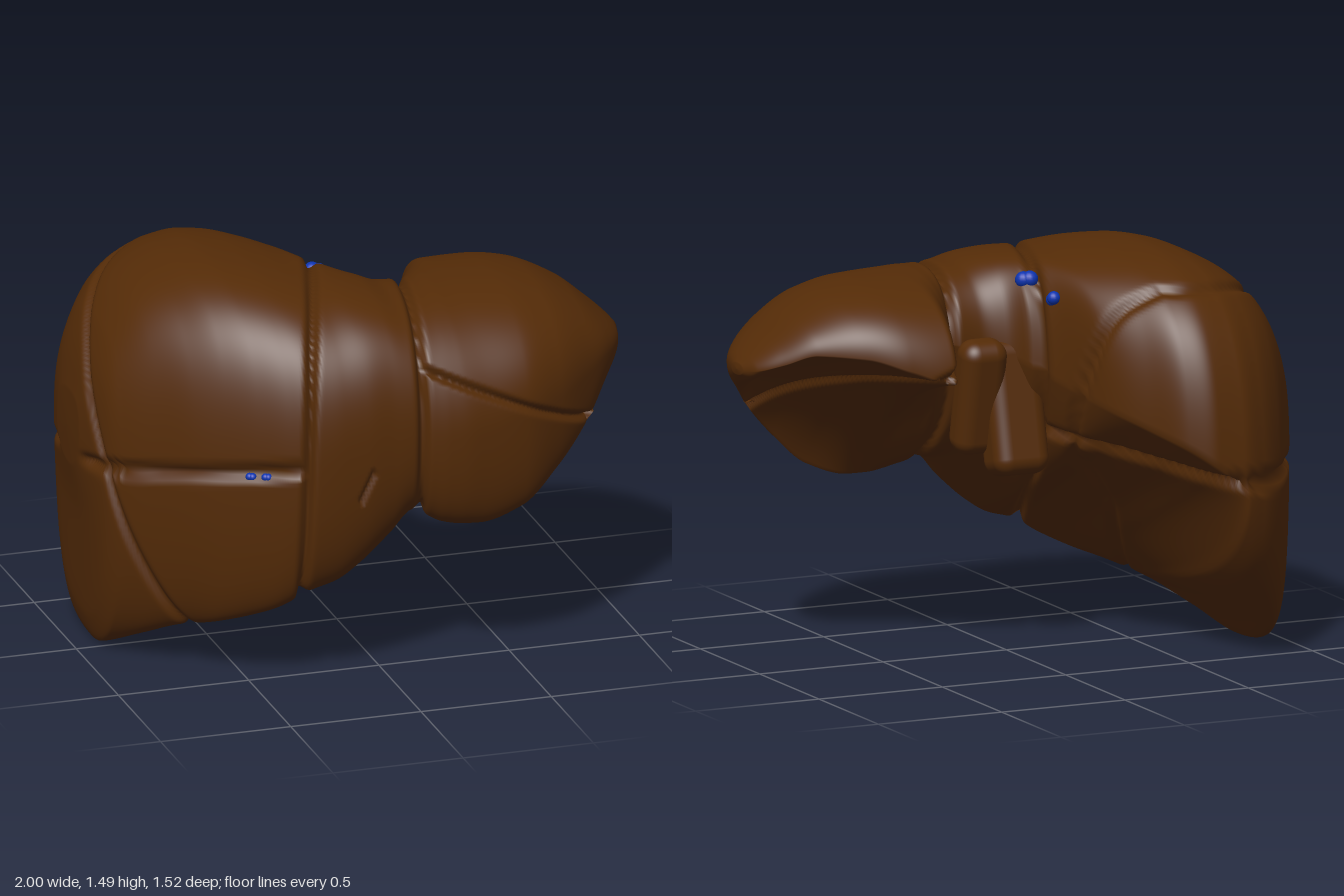
import * as THREE from 'three';
import { RoundedBoxGeometry } from 'three/addons/geometries/RoundedBoxGeometry.js';

// Cross-sections across x:
// x, frontZ, frontY, topZ, topY, backZ, backY, bottomZ, bottomY, fullness of underside
const rightStations = [
  [-1.0, 0.0, 0.86, -0.1, 0.96, -0.22, 0.84, -0.1, 0.72, 1],
  [-0.97, 0.12, 0.84, -0.1, 1.1, -0.36, 0.78, -0.09, 0.52, 1.2],
  [-0.94, 0.21, 0.83, -0.1, 1.19, -0.43, 0.72, -0.1, 0.1, 1.5],
  [-0.9, 0.27, 0.8, -0.1, 1.27, -0.5, 0.65, -0.1, 0.0, 1.9],
  [-0.8, 0.38, 0.82, -0.08, 1.38, -0.64, 0.64, 0.08, 0.08, 1.8],
  [-0.7, 0.48, 0.84, -0.06, 1.44, -0.725, 0.65, 0.25, 0.16, 1.5],
  [-0.6, 0.56, 0.85, -0.02, 1.48, -0.765, 0.7, 0.4, 0.21, 0.88],
  [-0.5, 0.63, 0.86, 0.0, 1.495, -0.765, 0.77, 0.48, 0.25, 0.6],
  [-0.4, 0.69, 0.86, 0.03, 1.49, -0.72, 0.84, 0.55, 0.3, 0.5],
  [-0.3, 0.73, 0.87, 0.06, 1.475, -0.6, 0.9, 0.58, 0.36, 0.5],
  [-0.2, 0.735, 0.9, 0.12, 1.455, -0.45, 0.96, 0.58, 0.39, 0.57],
];
const leftStations = [
  [-0.11, 0.735, 0.92, 0.2, 1.445, -0.18, 1.03, 0.57, 0.445, 0.63],
  [0.0, 0.73, 0.95, 0.27, 1.425, 0.0, 1.1, 0.56, 0.54, 0.75],
  [0.09, 0.73, 0.97, 0.3, 1.4, 0.03, 1.12, 0.57, 0.63, 0.9],
  [0.2, 0.75, 0.95, 0.3, 1.395, 0.02, 1.14, 0.61, 0.585, 0.72],
  [0.27, 0.755, 0.95, 0.27, 1.4, -0.1, 1.13, 0.62, 0.572, 0.48],
  [0.34, 0.75, 0.96, 0.25, 1.4, -0.28, 1.07, 0.63, 0.57, 0.27],
  [0.5, 0.73, 1.0, 0.22, 1.395, -0.25, 1.12, 0.64, 0.62, 0.17],
  [0.65, 0.665, 1.03, 0.2, 1.37, -0.18, 1.17, 0.6, 0.74, 0.14],
  [0.8, 0.55, 1.07, 0.2, 1.3, -0.08, 1.18, 0.51, 0.88, 0.2],
  [0.9, 0.45, 1.1, 0.2, 1.22, 0.0, 1.14, 0.38, 0.98, 0.4],
  [0.97, 0.34, 1.1, 0.2, 1.155, 0.08, 1.11, 0.27, 1.045, 0.8],
  [1.0, 0.23, 1.1, 0.2, 1.12, 0.16, 1.1, 0.2, 1.085, 1],
];
const stations = [...rightStations, ...leftStations];
const { lerp, smoothstep } = THREE.MathUtils;

// Smooth interpolation without overshoot between stations
function sectionAt(x) {
  let k = 0;
  while (k < stations.length - 2 && x > stations[k + 1][0]) k++;
  const h = stations[k + 1][0] - stations[k][0];
  const t = THREE.MathUtils.clamp((x - stations[k][0]) / h, 0, 1);
  const slope = (a, c) => (stations[a + 1][c] - stations[a][c]) / (stations[a + 1][0] - stations[a][0]);
  const tangent = (i, c) => {
    if (i === 0) return slope(0, c);
    if (i === stations.length - 1) return slope(i - 1, c);
    const a = slope(i - 1, c), b = slope(i, c);
    return a * b <= 0 ? 0 : (2 * a * b) / (a + b);
  };
  return stations[k].map((p, c) => {
    const q = stations[k + 1][c], t2 = t * t, t3 = t2 * t;
    return p * (2 * t3 - 3 * t2 + 1) + q * (3 * t2 - 2 * t3)
      + h * (tangent(k, c) * (t3 - 2 * t2 + t) + tangent(k + 1, c) * (t3 - t2));
  });
}

// Point on the loop: four rounded quarters, front > top > back > bottom
function loopPoint(s, v) {
  const [x, fz, fy, tz, ty, bz, by, dz, dy, full] = s;
  const q = Math.floor(v * 4) % 4, t = v * 4 - Math.floor(v * 4);
  const f = Math.min(full, 1), round = lerp(1.2, 0.87, smoothstep(x, -0.1, 0.25));
  const [a, c, b, weight] = [
    [[fz, fy], [fz, ty], [tz, ty], round],
    [[tz, ty], [bz, ty], [bz, by], round],
    [[bz, by], [lerp(dz, bz, f), lerp(by, dy, f)], [dz, dy], 0.85 * Math.max(1, full)],
    [[dz, dy], [fz, dy], [fz, fy], 0.9],
  ][q];
  const w0 = (1 - t) ** 2, w1 = 2 * t * (1 - t) * weight, w2 = t * t, sum = w0 + w1 + w2;
  return [0, 1].map(i => (w0 * a[i] + w1 * c[i] + w2 * b[i]) / sum);
}

// Signed distances to the fissures between segments
const mainFissure = (x, y, z) => (x + 0.345 - 0.3 * (0.73 - z) - 0.04 * (y - 0.85)) / 1.05;
const leftFissure = (x, y, z) => x - 0.1 - 0.14 * (0.73 - z);
const crossFissure = (x, y, z) => y - (0.83 + 0.08 * x + 0.1 * z);
const rearFissure = (x, y, z) => (z - (0.026 - 0.638 * x - 0.55 * y
  - 1.2 * y * Math.max(0, (x + 1) * (-0.4 - x)) + 0.12 * smoothstep(x, -0.45, -0.2))) / 1.3;
const sideFissure = (x, y) => (y - 1.26 + 0.46 * x) / 1.1;

const segmentNames = ['upperFrontRightSegment', 'lowerFrontRightSegment', 'upperRearRightSegment',
  'lowerRearRightSegment', 'middleSegment', 'upperLeftSegment', 'lowerLeftSegment'];

function segmentOf(x, y, z) {
  if (mainFissure(x, y, z) < 0)
    return (rearFissure(x, y, z) < 0 ? 2 : 0) + (crossFissure(x, y, z) < 0 ? 1 : 0);
  if (leftFissure(x, y, z) < 0) return 4;
  return sideFissure(x, y) > 0 ? 5 : 6;
}

function grooveDepth(x, y, z) {
  const dip = (d, w) => Math.exp(-((d / w) ** 2));
  let g = Math.max(dip(mainFissure(x, y, z), 0.016), dip(leftFissure(x, y, z), 0.015));
  if (mainFissure(x, y, z) < 0)
    g = Math.max(g, dip(crossFissure(x, y, z), 0.018), 0.6 * dip(rearFissure(x, y, z), 0.02));
  if (leftFissure(x, y, z) > 0) g = Math.max(g, 0.8 * dip(sideFissure(x, y), 0.013));
  // short slit on the front of the middle segment
  if (z > 0.5 && y > 0.73 && y < 0.85) g = Math.max(g, 0.5 * dip(x + 0.115 - (y - 0.79) * 0.45, 0.009));
  return 0.038 * g * smoothstep(1 - Math.abs(x), 0.002, 0.025);
}

function buildSegments(material) {
  const N = 290, M = 216, pos = [], all = [], parts = segmentNames.map(() => []);
  for (let i = 0; i <= N; i++) {
    const u = i / N, x = lerp(2 * u - 1, -Math.cos(Math.PI * u), 0.6);
    const s = sectionAt(x), end = i === 0 || i === N;
    for (let j = 0; j < M; j++) {
      const [z, y] = end ? [(s[1] + s[5]) / 2, (s[4] + s[8]) / 2] : loopPoint(s, j / M);
      pos.push(x, y, z);
    }
  }
  for (let i = 0; i < N; i++) for (let j = 0; j < M; j++) {
    const a = i * M + j, c = i * M + (j + 1) % M, b = a + M, d = c + M;
    const quad = [a, b, c, b, d, c];
    const mid = [0, 1, 2].map(k => (pos[a * 3 + k] + pos[d * 3 + k]) / 2);
    all.push(...quad);
    parts[segmentOf(...mid)].push(...quad);
  }
  const body = new THREE.BufferGeometry();
  body.setAttribute('position', new THREE.Float32BufferAttribute(pos, 3));
  body.setIndex(all);
  body.computeVertexNormals();
  // press the fissures into the surface
  const p = body.attributes.position, n = body.attributes.normal;
  for (let i = 0; i < p.count; i++) {
    const x = p.getX(i), y = p.getY(i), z = p.getZ(i), g = grooveDepth(x, y, z);
    p.setXYZ(i, x - n.getX(i) * g, y - n.getY(i) * g, z - n.getZ(i) * g);
  }
  body.computeVertexNormals();
  return parts.map((index, k) => {
    const geo = new THREE.BufferGeometry();
    geo.setAttribute('position', p);
    geo.setAttribute('normal', n);
    geo.setIndex(index);
    const mesh = new THREE.Mesh(geo, material);
    mesh.name = segmentNames[k];
    return mesh;
  });
}

export function createModel() {
  const model = new THREE.Group();
  model.name = 'liver';
  const tissue = new THREE.MeshStandardMaterial({ color: 0x542b07 });
  tissue.name = 'brown tissue';
  const vein = new THREE.MeshStandardMaterial({ color: 0x0c34b0 });
  vein.name = 'blue vein';
  model.add(...buildSegments(tissue));

  // small lobe hanging at the back, in two folds
  const fold = (name, size, at, tilt) => {
    const mesh = new THREE.Mesh(new RoundedBoxGeometry(...size, 6, 0.06), tissue);
    mesh.name = name;
    mesh.position.set(...at);
    mesh.rotation.x = tilt;
    model.add(mesh);
  };
  fold('rearLobeOuterFold', [0.18, 0.44, 0.14], [0.1, 0.95, 0.03], -0.2);
  fold('rearLobeInnerFold', [0.22, 0.5, 0.18], [-0.03, 0.9, 0.02], 0.22);

  // vein stumps: short tubes with round ends
  const stump = (name, r, a, b) => {
    const group = new THREE.Group();
    group.name = name;
    const path = new THREE.LineCurve3(new THREE.Vector3(...a), new THREE.Vector3(...b));
    group.add(new THREE.Mesh(new THREE.TubeGeometry(path, 4, r * 0.8, 12), vein));
    for (const end of [a, b]) {
      const ball = new THREE.Mesh(new THREE.SphereGeometry(r, 16, 12), vein);
      ball.position.set(...end);
      group.add(ball);
    }
    model.add(group);
  };
  stump('upperVein', 0.031, [-0.095, 1.375, 0.0], [-0.075, 1.372, 0.012]);
  stump('rearVein', 0.025, [-0.12, 1.33, -0.15], [-0.125, 1.32, -0.13]);
  stump('lowerVein', 0.028, [-0.07, 0.74, 0.17], [-0.02, 0.74, 0.2]);
  stump('frontVeinOuter', 0.015, [-0.525, 0.83, 0.588], [-0.515, 0.83, 0.595]);
  stump('frontVeinInner', 0.015, [-0.475, 0.834, 0.622], [-0.465, 0.834, 0.628]);
  return model;
}
